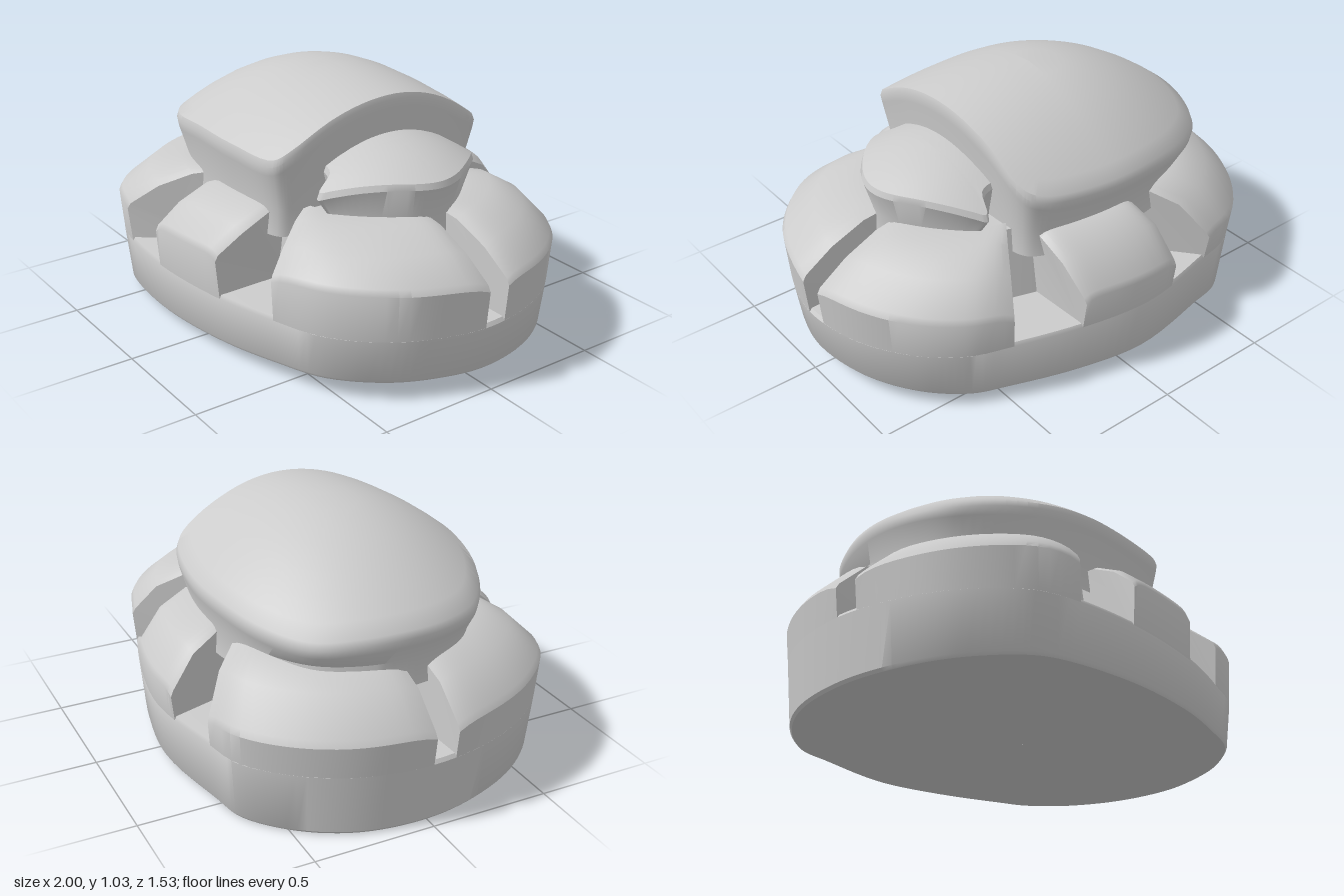
import * as THREE from 'three';
import { toCreasedNormals } from 'three/addons/utils/BufferGeometryUtils.js';

const material = new THREE.MeshStandardMaterial({ color: 0xcccccc });

// Smooth closed plan curve through [x, z] points
function plan(points, count) {
  const curve = new THREE.CatmullRomCurve3(points.map(([x, z]) => new THREE.Vector3(x, 0, z)), true);
  return curve.getPoints(count);
}

// Skin rows of points, listed bottom to top, each running from +x towards +z
function skin(rows, fans = []) {
  const pos = [];
  const tri = (a, b, c) => pos.push(...a, ...b, ...c);
  for (let i = 0; i < rows.length - 1; i++) {
    for (let j = 0; j < rows[i].length - 1; j++) {
      const a = rows[i][j], b = rows[i][j + 1], c = rows[i + 1][j], d = rows[i + 1][j + 1];
      tri(a, c, b);
      tri(b, c, d);
    }
  }
  for (const f of fans) for (let i = 1; i < f.length - 1; i++) tri(f[0], f[i], f[i + 1]);
  const g = new THREE.BufferGeometry();
  g.setAttribute('position', new THREE.Float32BufferAttribute(pos, 3));
  return toCreasedNormals(g, 0.6);
}

// One ring: the plan scaled about (cx, 0), with height from a rule
const ring = (pts, s, y, cx = 0) => pts.map((p) => {
  const x = cx + (p.x - cx) * s, z = p.z * s;
  return [x, y(x, z), z];
});

const bodyPlan = plan([
  [1, 0], [0.97, 0.18], [0.88, 0.38], [0.7, 0.56], [0.48, 0.645], [0.2, 0.72], [-0.2, 0.76],
  [-0.58, 0.72], [-0.7, 0.66], [-0.86, 0.48], [-0.96, 0.25], [-1, 0], [-0.96, -0.28],
  [-0.84, -0.5], [-0.66, -0.66], [-0.5, -0.7], [-0.12, -0.77], [0.2, -0.73], [0.52, -0.64],
  [0.66, -0.59], [0.82, -0.46], [0.95, -0.25],
], 132);

// Point on the body outline in a given direction (degrees)
function outlineAt(deg) {
  const t = THREE.MathUtils.degToRad(deg), dx = Math.cos(t), dz = Math.sin(t);
  for (let i = 0; i < bodyPlan.length - 1; i++) {
    const a = bodyPlan[i], b = bodyPlan[i + 1];
    const ca = dx * a.z - dz * a.x, cb = dx * b.z - dz * b.x;
    if (ca <= 1e-9 && cb >= -1e-9 && dx * a.x + dz * a.z > 0) {
      const p = a.clone().lerp(b, ca / (ca - cb || 1));
      return [p.x, p.z];
    }
  }
  return [dx, dz];
}

// Wall block between two notches; the notches narrow towards the middle
function wallBlock(outer, inner) {
  const profile = [
    [0.985, () => 0.27], [1, (x, z) => 0.43 + 0.02 * x + 0.03 * z],
    [0.985, (x, z) => 0.455 + 0.02 * x + 0.03 * z], [0.86, () => 0.555],
    [0.71, () => 0.615], [0.56, () => 0.61], [0.56, () => 0.27],
  ];
  const n = 20;
  const rows = profile.map(([s, y]) => {
    const k = Math.min(1, (1 - s) / 0.44);
    const from = THREE.MathUtils.lerp(outer[0], inner[0], k);
    const to = THREE.MathUtils.lerp(outer[1], inner[1], k);
    return Array.from({ length: n + 1 }, (_, j) => {
      const [ox, oz] = outlineAt(from + (to - from) * j / n);
      // Top edges droop a little beside each notch
      const droop = s > 0.6 && y(0, 0) > 0.4 ? 0.025 * Math.abs(2 * j / n - 1) ** 8 : 0;
      return [ox * s, y(ox, oz) - droop, oz * s];
    });
  });
  const start = rows.map((r) => r[0]).reverse(), end = rows.map((r) => r[n]);
  return skin(rows, [start, end]);
}

export function createModel() {
  const group = new THREE.Group();
  const add = (name, geometry) => {
    const mesh = new THREE.Mesh(geometry, material);
    mesh.name = name;
    group.add(mesh);
  };

  // Base with a slightly tilted underside
  const under = (x, z) => Math.max(0, 0.045 + 0.035 * x + 0.02 * z);
  add('base', skin([
    ring(bodyPlan, 0.001, under), ring(bodyPlan, 0.5, under), ring(bodyPlan, 0.95, under),
    ring(bodyPlan, 0.96, (x, z) => under(x, z) + 0.012), ring(bodyPlan, 0.985, () => 0.27),
    ring(bodyPlan, 0.975, () => 0.285), ring(bodyPlan, 0.5, () => 0.3), ring(bodyPlan, 0.001, () => 0.3),
  ]));

  // Core behind the notches
  add('core', skin([
    ring(bodyPlan, 0.66, () => 0.27), ring(bodyPlan, 0.6, () => 0.6), ring(bodyPlan, 0.001, () => 0.6),
  ]));

  // Six wall blocks: [outer angles], [inner angles]
  [
    [[1.5, 53.5], [2.5, 51]],
    [[74.5, 104.7], [60, 109]],
    [[123.3, 174.3], [116, 173]],
    [[180, 234.5], [181, 241]],
    [[251.3, 285.3], [248, 301]],
    [[307, 356], [310, 355]],
  ].forEach(([o, i], k) => add(`wallBlock${k + 1}`, wallBlock(o, i)));

  // Large dome, blunt at its +x end
  const domePlan = plan([
    [0.345, 0], [0.34, 0.25], [0.325, 0.44], [0.29, 0.505], [0.05, 0.54], [-0.2, 0.535], [-0.48, 0.48],
    [-0.7, 0.34], [-0.79, 0.18], [-0.82, 0], [-0.79, -0.2], [-0.7, -0.37], [-0.5, -0.5], [-0.2, -0.57],
    [0.05, -0.565], [0.25, -0.52], [0.31, -0.47], [0.335, -0.25],
  ], 108);
  const domeTop = (x, z) => 1.04 - (x < -0.08 ? 0.55 : 0.22) * (x + 0.08) ** 2 - (z > 0 ? 0.75 : 0.85) * z * z;
  const domeRows = [
    ring(domePlan, 0.95, () => 0.5, -0.1), ring(domePlan, 0.935, () => 0.61, -0.1),
    ring(domePlan, 0.99, (x, z) => domeTop(x, z) - 0.06, -0.1),
  ];
  for (const s of [1, 0.985, 0.9, 0.8, 0.65, 0.5, 0.35, 0.2, 0.001]) {
    domeRows.push(ring(domePlan, s, (x, z) => domeTop(x, z) - (s === 1 ? 0.02 : 0), -0.1));
  }
  add('dome', skin(domeRows));

  // Small pointed cap beside the dome
  const capPlan = plan([
    [0.685, 0], [0.665, 0.09], [0.58, 0.22], [0.45, 0.355], [0.405, 0.385], [0.37, 0.31], [0.25, 0.27],
    [0.2, 0], [0.25, -0.27], [0.37, -0.31], [0.405, -0.385], [0.45, -0.355], [0.58, -0.22], [0.665, -0.09],
  ], 84);
  const capTop = (x, z) => 0.845 - 0.65 * (x - 0.3) ** 2 - 0.95 * z * z;
  const capRows = [
    ring(capPlan, 0.9, () => 0.5, 0.4), ring(capPlan, 0.88, () => 0.61, 0.4),
    ring(capPlan, 1, (x, z) => capTop(x, z) - 0.02, 0.4),
  ];
  for (const s of [0.97, 0.8, 0.6, 0.4, 0.2, 0.001]) capRows.push(ring(capPlan, s, capTop, 0.4));
  add('smallCap', skin(capRows));

  return group;
}
